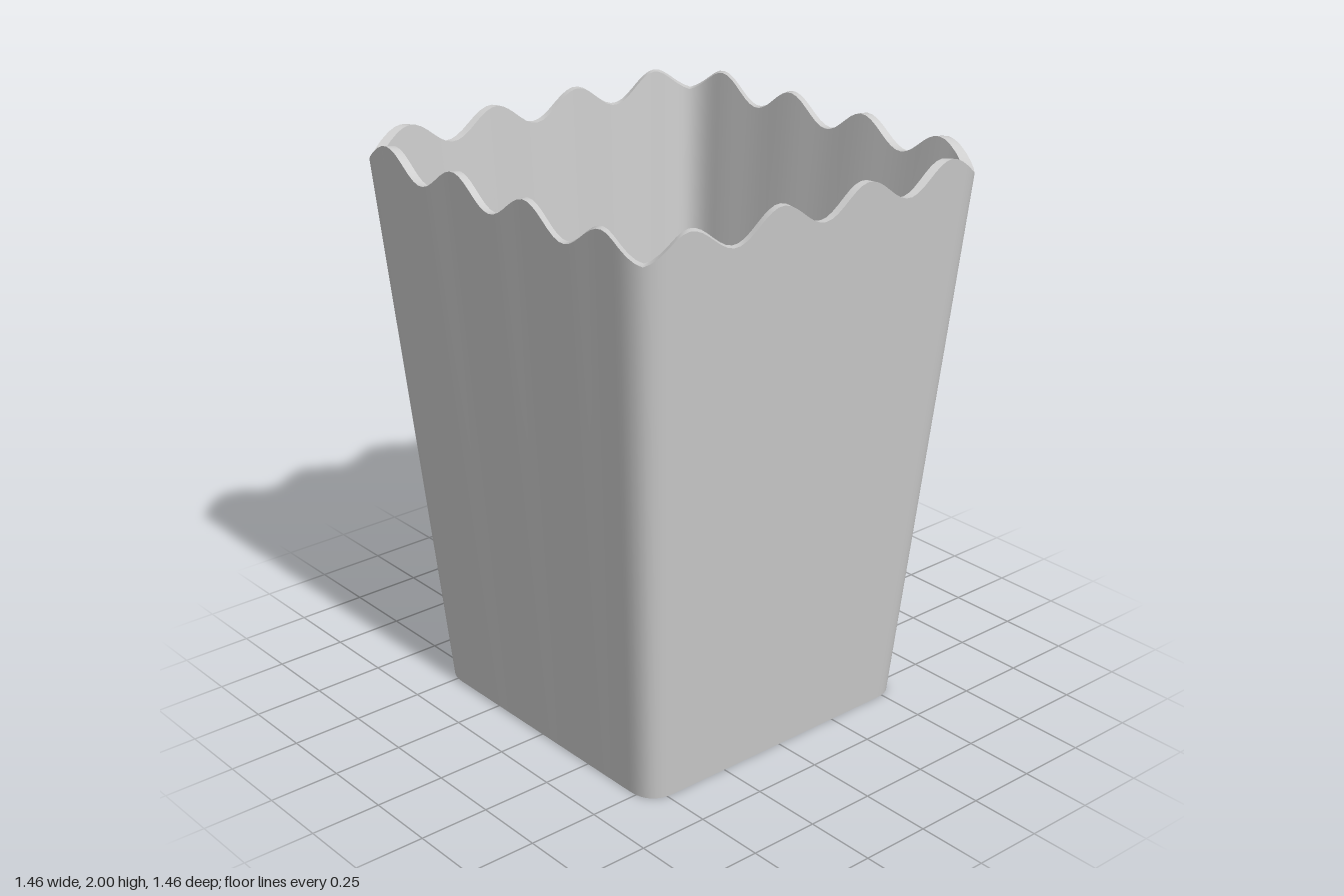
import * as THREE from 'three';

const SIDE_STEPS = 48, CORNER_STEPS = 8;
const STRAIGHT = 0.82; // part of each side before the corner curve starts

// Unit rounded-square outline: one side and its corner, turned four times
function outline() {
  const side = [];
  for (let i = 0; i < SIDE_STEPS; i++) {
    side.push(new THREE.Vector2(-STRAIGHT + (2 * STRAIGHT * i) / SIDE_STEPS, 1));
  }
  const corner = new THREE.QuadraticBezierCurve(
    new THREE.Vector2(STRAIGHT, 1), new THREE.Vector2(1, 1), new THREE.Vector2(1, STRAIGHT));
  side.push(...corner.getPoints(CORNER_STEPS).slice(0, -1));

  const points = [];
  for (let k = 0; k < 4; k++) {
    for (const p of side) {
      let [x, z] = [p.x, p.y];
      for (let r = 0; r < k; r++) [x, z] = [z, -x];
      points.push([x, z]);
    }
  }
  return points;
}

// Scalloped rim: four waves along each side, dipping at the corners
function rimHeight(x, z) {
  const along = Math.min(Math.abs(x), Math.abs(z));
  return 1.955 - 0.045 * Math.cos(along * Math.PI * 4);
}

// Closed band of faces between two loops
function band(name, lower, upper, material) {
  const n = lower.length, index = [];
  for (let i = 0; i < n; i++) {
    const j = (i + 1) % n;
    index.push(i, j, n + j, i, n + j, n + i);
  }
  const geometry = new THREE.BufferGeometry();
  geometry.setAttribute('position',
    new THREE.Float32BufferAttribute([...lower, ...upper].flat(), 3));
  geometry.setIndex(index);
  geometry.computeVertexNormals();
  const mesh = new THREE.Mesh(geometry, material);
  mesh.name = name;
  return mesh;
}

export function createModel() {
  const group = new THREE.Group();
  group.name = 'scallopedBox';
  const material = new THREE.MeshStandardMaterial({ color: 0xcccccc });

  const section = outline();
  const loop = (half, height) => section.map(([x, z]) =>
    [x * half, typeof height === 'function' ? height(x, z) : height, z * half]);

  const base = loop(0.575, 0);
  const outerRim = loop(0.73, rimHeight);
  const innerRim = loop(0.705, rimHeight);
  const floor = loop(0.555, 0.025);

  group.add(
    band('outerWall', base, outerRim, material),
    band('rim', outerRim, innerRim, material),
    band('innerWall', innerRim, floor, material),
    band('floor', floor, loop(0, 0.025), material),
    band('base', loop(0, 0), base, material),
  );
  return group;
}
